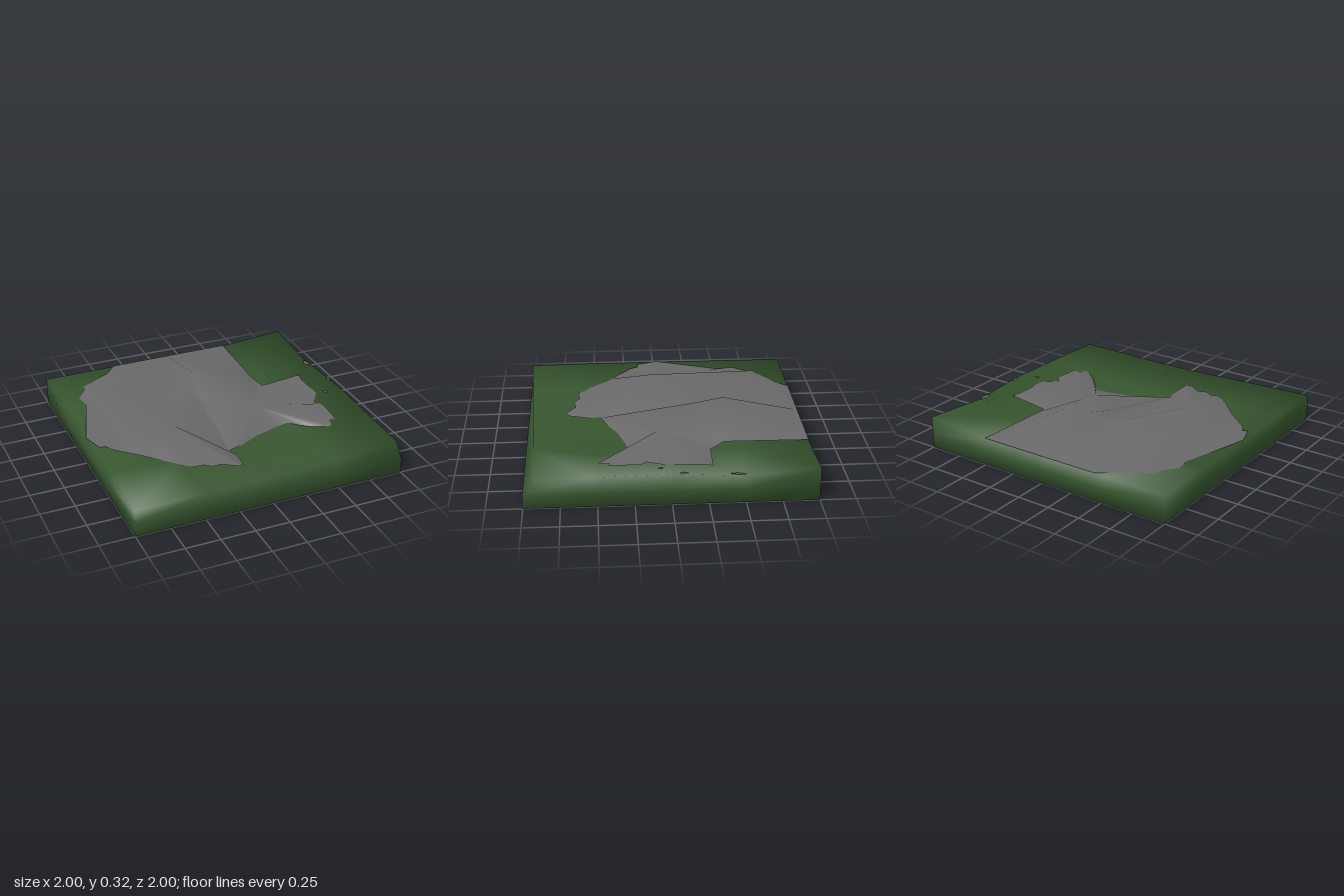
import * as THREE from 'three';
import { mergeVertices } from 'three/addons/utils/BufferGeometryUtils.js';

// ground heights, rows z = -1..1, columns x = -1..1, in steps of 0.5
const HEIGHTS = [
  [0.2, 0.2, 0.2, 0.2, 0.24],
  [0.2, 0.16, 0.13, 0.16, 0.2],
  [0.2, 0.16, 0.12, 0.15, 0.23],
  [0.2, 0.18, 0.13, 0.13, 0.22],
  [0.195, 0.19, 0.18, 0.19, 0.21],
];

function groundHeight(x, z) {
  const u = (x + 1) * 2, v = (z + 1) * 2;
  const i = Math.min(3, Math.floor(u)), j = Math.min(3, Math.floor(v));
  const row = (r) => THREE.MathUtils.lerp(HEIGHTS[r][i], HEIGHTS[r][i + 1], u - i);
  return THREE.MathUtils.lerp(row(j), row(j + 1), v - j);
}

// grassy slab: a subdivided box whose top follows the heights
function makeGround(material) {
  let geo = new THREE.BoxGeometry(2, 0.2, 2, 4, 2, 4);
  geo.deleteAttribute('normal');
  geo.deleteAttribute('uv');
  geo = mergeVertices(geo);
  const p = geo.attributes.position;
  const edge = (t) => (Math.abs(t) > 0.99 ? Math.sign(t) : 0);
  const soft = [];
  for (let i = 0; i < p.count; i++) {
    const x = p.getX(i), z = p.getZ(i), y = p.getY(i);
    // rim normals lean equally towards every side they touch
    if (edge(x) || edge(z)) soft.push([i, new THREE.Vector3(edge(x), Math.round(y * 10), edge(z)).normalize()]);
    if (y > 0.05) {
      p.setY(i, groundHeight(x, z));
      if (z > 0.9) p.setZ(i, z - 0.04 * (x + 1)); // front edge slopes back
    } else {
      p.setY(i, y + 0.1);
    }
  }
  geo.computeVertexNormals();
  for (const [i, n] of soft) geo.attributes.normal.setXYZ(i, n.x, n.y, n.z);
  const mesh = new THREE.Mesh(geo, material);
  mesh.name = 'grassGround';
  return mesh;
}

// rocky outcrop: fans of triangles around a few high points
function makeRock(material) {
  const out = [];
  const rim = ([x, z]) => [x, groundHeight(x, z) + 0.006, z];
  const tri = (a, b, c) => {
    const up = (b[2] - a[2]) * (c[0] - a[0]) - (b[0] - a[0]) * (c[2] - a[2]);
    out.push(...a, ...(up > 0 ? [...b, ...c] : [...c, ...b]));
  };
  const fan = (centre, ring) => {
    for (let i = 0; i < ring.length - 1; i++) tri(centre, ring[i], ring[i + 1]);
  };

  // high points, ridge and the valley beside it
  const leftPeak = [-0.5, 0.305, 0.07], knee = [-0.73, 0.207, -0.03];
  const peak = [0, 0.325, -0.44], shoulder = [0.25, 0.28, -0.42];
  const ridge = [-0.03, 0.272, -0.23], ridgeEnd = [-0.08, 0.145, 0.46];
  const saddle = [-0.02, 0.225, -0.46], valley = [-0.05, 0.205, -0.2];
  const valleyEnd = [-0.1, 0.14, 0.48];
  const ridgeFoot = [0.48, 0.2, -0.4], slope = [0.3, 0.215, 0.05];
  const back = rim([0, -1]);

  const frontRim = [[-0.07, 0.54], [-0.09, 0.7], [-0.13, 0.72], [-0.23, 0.65], [-0.31, 0.66],
    [-0.36, 0.62], [-0.44, 0.63], [-0.56, 0.52], [-0.7, 0.37]].map(rim);
  const leftRim = [[-0.7, 0.37], [-0.88, 0.21], [-0.91, 0.15], [-0.95, 0.16], [-1, 0], [-0.84, -0.5],
    [-0.86, -0.61], [-0.78, -0.78]].map(rim);
  const backRim = [[-0.78, -0.78], [-0.63, -0.86], [-0.53, -0.91], [-0.45, -1]].map(rim);
  const rightRim = [[0.53, -0.3], [0.84, -0.29], [0.83, -0.25], [0.82, -0.2], [0.82, 0.04],
    [0.74, 0.16], [0.79, 0.2], [0.78, 0.42], [0.74, 0.41], [0.71, 0.49], [0.6, 0.42], [0.53, 0.35],
    [0.46, 0.27], [0.36, 0.29], [0.18, 0.34], [0.02, 0.42]].map(rim);

  // left hill
  fan(leftPeak, [saddle, valley, valleyEnd, ...frontRim]);
  fan(knee, [leftPeak, ...leftRim, leftPeak]);
  fan(leftPeak, [...backRim, back, saddle]);
  // cliff between the two hills
  tri(back, saddle, peak);
  fan(saddle, [peak, ridge, valley]);
  fan(valley, [ridge, ridgeEnd, valleyEnd]);
  // right hill, back and front slopes
  fan(shoulder, [peak, back, rim([0.5, -1]), ridgeFoot]);
  fan(slope, [ridge, peak, shoulder, ridgeFoot, ...rightRim, ridgeEnd, ridge]);
  // small stones showing through the grass
  for (const [x, z, w, h] of [[0.98, -0.44, 0.018, 0.06], [0.985, -0.08, 0.013, 0.03], [0.885, 0.07, 0.016, 0.02]]) {
    fan(rim([x, z]), [[x - w, z], [x, z - h], [x + w, z], [x, z + h], [x - w, z]].map(rim));
  }

  let geo = new THREE.BufferGeometry();
  geo.setAttribute('position', new THREE.Float32BufferAttribute(out, 3));
  geo = mergeVertices(geo);
  geo.computeVertexNormals();
  const mesh = new THREE.Mesh(geo, material);
  mesh.name = 'rockOutcrop';
  return mesh;
}

export function createModel() {
  const grass = new THREE.MeshStandardMaterial({ color: 0x37562f });
  grass.name = 'grass green';
  const stone = new THREE.MeshStandardMaterial({ color: 0x696969, side: THREE.DoubleSide });
  stone.name = 'stone grey';

  const model = new THREE.Group();
  model.name = 'rockyTerrainTile';
  model.add(makeGround(grass), makeRock(stone));
  return model;
}
